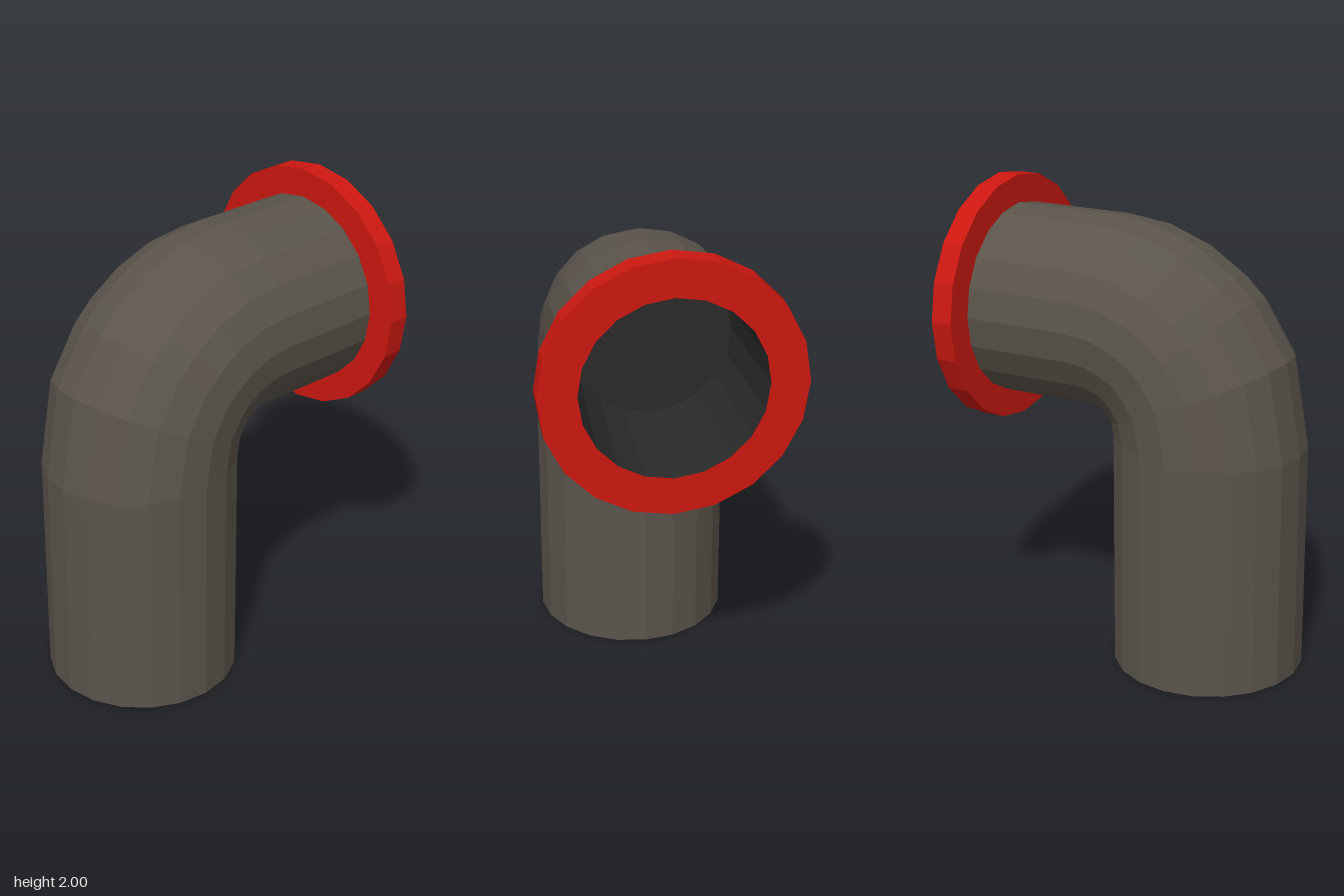
import * as THREE from 'three';

const SIDES = 20;
const PIPE_R = 0.405;
const BEND_R = 0.455;
const CENTRE = { x: 0.15, y: 1.02 };
const AXIS_Y = CENTRE.y + BEND_R;

const paint = (color, side = THREE.FrontSide) =>
  new THREE.MeshStandardMaterial({ color, side, flatShading: true });

// Skin of the pipe: rings swept up, around the elbow and out to +x
function pipeGeometry() {
  const rings = [{ a: 0, x: CENTRE.x - BEND_R, y: 0 }];
  for (const deg of [-3, 23.4, 41.7, 50.4, 63, 76.6, 90]) {
    const a = THREE.MathUtils.degToRad(deg);
    rings.push({
      a,
      x: CENTRE.x - Math.cos(a) * BEND_R,
      y: CENTRE.y + Math.sin(a) * BEND_R,
    });
  }
  rings.push({ a: Math.PI / 2, x: 0.62, y: AXIS_Y });

  const positions = [];
  const index = [];
  rings.forEach(({ a, x, y }, i) => {
    for (let j = 0; j < SIDES; j++) {
      const t = (j / SIDES) * Math.PI * 2;
      const out = PIPE_R * Math.cos(t);
      positions.push(x - Math.cos(a) * out, y + Math.sin(a) * out, PIPE_R * Math.sin(t));
      if (i === 0) continue;
      const k = (j + 1) % SIDES;
      const lo = (i - 1) * SIDES;
      const hi = i * SIDES;
      index.push(lo + j, lo + k, hi + j, lo + k, hi + k, hi + j);
    }
  });
  const geo = new THREE.BufferGeometry();
  geo.setAttribute('position', new THREE.Float32BufferAttribute(positions, 3));
  geo.setIndex(index);
  const flat = geo.toNonIndexed();
  flat.computeVertexNormals();
  return flat;
}

export function createModel() {
  const model = new THREE.Group();
  model.name = 'elbowPipe';
  const add = (name, geometry, material) => {
    const mesh = new THREE.Mesh(geometry, material);
    mesh.name = name;
    model.add(mesh);
    return mesh;
  };

  const metal = paint(0x5a544b);
  add('pipe', pipeGeometry(), metal);

  // Closed foot of the pipe
  const foot = add('foot', new THREE.CircleGeometry(PIPE_R, SIDES), metal);
  foot.rotation.x = Math.PI / 2;
  foot.position.x = CENTRE.x - BEND_R;

  // Flange around the mouth
  const profile = [[0.37, 0], [0.525, 0], [0.525, 0.092], [0.37, 0.092]]
    .map(([r, h]) => new THREE.Vector2(r, h));
  const flange = add('flange', new THREE.LatheGeometry(profile, SIDES), paint(0xcc1810));
  flange.rotation.z = -Math.PI / 2;
  flange.position.set(0.614, AXIS_Y, 0);

  // Tapered dark bore with a closed inner end
  const depth = 0.55;
  const bore = add('bore',
    new THREE.CylinderGeometry(0.372, 0.34, depth, SIDES, 1, true),
    paint(0x2a2a2a, THREE.BackSide));
  bore.rotation.z = -Math.PI / 2;
  bore.position.set(0.706 - depth / 2, AXIS_Y, 0);

  const boreEnd = add('boreEnd', new THREE.CircleGeometry(0.34, SIDES), paint(0x2a2a2a));
  boreEnd.rotation.y = Math.PI / 2;
  boreEnd.position.set(0.706 - depth, AXIS_Y, 0);

  return model;
}
